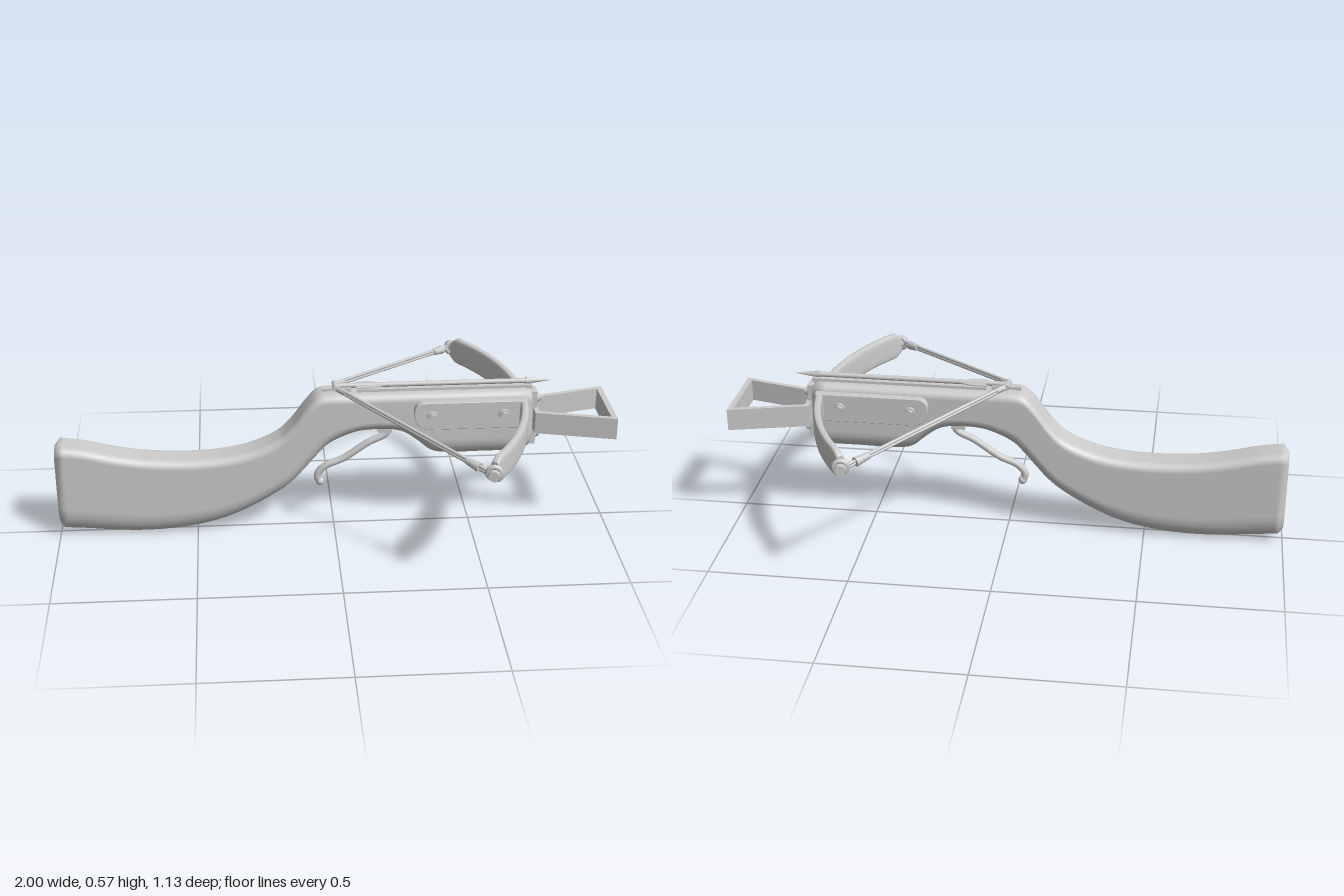
import * as THREE from 'three';

const V = (x, y, z) => new THREE.Vector3(x, y, z);
const mat = new THREE.MeshStandardMaterial({ color: 0xcccccc });

function add(group, name, geometry, x = 0, y = 0, z = 0) {
  const mesh = new THREE.Mesh(geometry, mat);
  mesh.name = name;
  mesh.position.set(x, y, z);
  group.add(mesh);
  return mesh;
}

// Skin over closed rings of points, with flat caps at both ends
function loft(rings) {
  const n = rings[0].length, pos = [], idx = [];
  rings.forEach(r => r.forEach(p => pos.push(p.x, p.y, p.z)));
  for (let i = 0; i < rings.length - 1; i++) {
    for (let j = 0; j < n; j++) {
      const a = i * n + j, b = i * n + (j + 1) % n;
      idx.push(a, b, a + n, b, b + n, a + n);
    }
  }
  [rings[0], rings[rings.length - 1]].forEach((r, end) => {
    const base = pos.length / 3, c = V(0, 0, 0);
    r.forEach(p => { pos.push(p.x, p.y, p.z); c.addScaledVector(p, 1 / n); });
    pos.push(c.x, c.y, c.z);
    for (let j = 0; j < n; j++) {
      const a = base + j, b = base + (j + 1) % n;
      if (end) idx.push(base + n, a, b); else idx.push(base + n, b, a);
    }
  });
  const g = new THREE.BufferGeometry();
  g.setAttribute('position', new THREE.Float32BufferAttribute(pos, 3));
  g.setIndex(idx);
  g.computeVertexNormals();
  return g;
}

// Straight round bar between two points
function bar(group, name, a, b, rA, rB = rA, sides = 10) {
  const g = new THREE.CylinderGeometry(rB, rA, a.distanceTo(b), sides);
  const m = add(group, name, g);
  m.position.copy(a).lerp(b, 0.5);
  m.quaternion.setFromUnitVectors(V(0, 1, 0), b.clone().sub(a).normalize());
  return m;
}

// Upright rounded section: small corner radius above, deep half ellipse below
function stockRing(x, top, bottom, inset) {
  const t = top - inset, b = bottom + inset, w = 0.063 - inset;
  const r = 0.03, d = Math.min(0.1, (t - b) * 0.3), ring = [], N = 8;
  for (let k = 0; k <= N; k++) {
    const a = k / N * Math.PI / 2;
    ring.push(V(x, t - r + r * Math.cos(a), w - r + r * Math.sin(a)));
  }
  for (let k = 0; k <= 2 * N; k++) {
    const a = k / N * Math.PI / 2;
    ring.push(V(x, b + d - d * Math.sin(a), w * Math.cos(a)));
  }
  for (let k = 0; k <= N; k++) {
    const a = k / N * Math.PI / 2;
    ring.push(V(x, t - r + r * Math.sin(a), -w + r - r * Math.cos(a)));
  }
  return ring;
}

function stockGeometry() {
  // x, top edge, bottom edge
  const side = [
    [-1, 0.367, 0.025], [-0.9, 0.352, 0.017], [-0.8, 0.327, 0.007], [-0.7, 0.308, 0.002],
    [-0.6, 0.299, 0.006], [-0.5, 0.297, 0.019], [-0.4, 0.304, 0.045], [-0.3, 0.325, 0.09],
    [-0.2, 0.371, 0.15], [-0.15, 0.42, 0.19], [-0.1, 0.488, 0.245], [-0.06, 0.53, 0.293],
    [-0.02, 0.54, 0.335], [0.05, 0.54, 0.372], [0.1, 0.54, 0.386], [0.2, 0.54, 0.388],
    [0.25, 0.54, 0.375], [0.3, 0.54, 0.34], [0.35, 0.54, 0.298], [0.39, 0.54, 0.287],
    [0.55, 0.54, 0.286], [0.71, 0.54, 0.286],
  ];
  const curve = new THREE.CatmullRomCurve3(side.map(p => V(...p)));
  const rings = curve.getPoints(126).map(p => {
    const e = Math.min(p.x + 1, 0.71 - p.x), R = 0.02; // rounded ends
    const inset = e < R ? R - Math.sqrt(Math.max(0, R * R - (R - e) ** 2)) : 0;
    return stockRing(p.x, p.y, p.z, Math.max(0, inset));
  });
  return loft(rings);
}

// Curved limbs as one sweep through the stock
const BOW = { cx: -0.158, r: 0.835, y: 0.465, end: 0.665 };
const bowPoint = a => V(BOW.cx + BOW.r * Math.cos(a), BOW.y, BOW.r * Math.sin(a));

function bowGeometry() {
  const rings = [], N = 48;
  for (let i = 0; i <= N; i++) {
    const a = (i / N * 2 - 1) * BOW.end, c = bowPoint(a);
    const h = 0.051 - 0.018 * Math.max(0, (Math.abs(a) - BOW.end + 0.03) / 0.03);
    const ring = [];
    for (let k = 0; k < 24; k++) {
      const f = k / 24 * Math.PI * 2;
      const se = v => Math.sign(v) * Math.abs(v) ** 0.5;
      const u = 0.015 * se(Math.cos(f));
      ring.push(V(c.x + u * Math.cos(a), c.y + h * se(Math.sin(f)), c.z + u * Math.sin(a)));
    }
    rings.push(ring);
  }
  return loft(rings);
}

// Hexagonal screw with washer, pointing along dir
function screw(group, p, dir) {
  bar(group, 'washer', p, p.clone().addScaledVector(dir, 0.006), 0.019, 0.017, 16);
  bar(group, 'screwHead', p, p.clone().addScaledVector(dir, 0.017), 0.014, 0.012, 6);
}

export function createModel() {
  const model = new THREE.Group();
  model.name = 'crossbow';
  add(model, 'stock', stockGeometry());
  add(model, 'bowLimbs', bowGeometry());

  // Trigger lever
  const lever = new THREE.CatmullRomCurve3([
    V(0.2, 0.385, 0), V(0.19, 0.362, 0), V(0.125, 0.328, 0), V(0.035, 0.267, 0),
    V(-0.035, 0.235, 0), V(-0.06, 0.2, 0), V(-0.05, 0.172, 0)]);
  add(model, 'trigger', new THREE.TubeGeometry(lever, 40, 0.013, 10));
  add(model, 'triggerTip', new THREE.SphereGeometry(0.016, 12, 8), -0.05, 0.176, 0);
  add(model, 'triggerMount', new THREE.BoxGeometry(0.05, 0.02, 0.028), 0.185, 0.382, 0);

  // Front plate with two screws
  add(model, 'frontPlate', new THREE.BoxGeometry(0.025, 0.205, 0.05), 0.718, 0.418, 0);
  for (const y of [0.488, 0.347]) screw(model, V(0.73, y, 0), V(1, 0, 0));

  // Foot stirrup: flat band bent into a trapezoid
  const outline = (s, x0, w0, x1, w1) => {
    s.moveTo(x0, -w0); s.lineTo(x1, -w1); s.lineTo(x1, w1); s.lineTo(x0, w0); s.closePath();
    return s;
  };
  const frame = outline(new THREE.Shape(), 0.718, 0.072, 1, 0.142);
  frame.holes.push(outline(new THREE.Path(), 0.735, 0.058, 0.98, 0.119));
  const stirrup = new THREE.ExtrudeGeometry(frame, { depth: 0.08, bevelEnabled: false });
  stirrup.rotateX(-Math.PI / 2);
  add(model, 'stirrup', stirrup, 0, 0.38, 0);

  // Side plate outline, rounded at the rear
  const plate = new THREE.Shape();
  plate.moveTo(0.685, 0.415);
  plate.lineTo(0.685, 0.515);
  plate.lineTo(0.32, 0.515);
  plate.quadraticCurveTo(0.283, 0.515, 0.283, 0.475);
  plate.quadraticCurveTo(0.285, 0.415, 0.345, 0.415);
  plate.closePath();

  for (const s of [1, -1]) {
    const half = new THREE.Group();
    half.name = s > 0 ? 'frontSide' : 'backSide';
    model.add(half);

    add(half, 'sidePlate', new THREE.ExtrudeGeometry(plate,
      { depth: 0.024, bevelEnabled: true, bevelThickness: 0.003, bevelSize: 0.002, bevelSegments: 2 }),
      0, 0, s > 0 ? 0.062 : -0.086);
    for (const x of [0.345, 0.6]) screw(half, V(x, 0.468, s * 0.089), V(0, 0, s));

    // Rail beside the bolt groove
    add(half, 'rail', new THREE.BoxGeometry(0.63, 0.014, 0.014), 0.395, 0.543, s * 0.02);

    // Limb tip with string loop
    const tip = bowPoint(s * BOW.end);
    const out = V(-s * Math.sin(s * BOW.end), 0, s * Math.cos(BOW.end)).normalize();
    out.set(-Math.sin(BOW.end) * 0.3, 0, s).normalize();
    bar(half, 'limbTip', tip.clone().addScaledVector(out, -0.01),
      tip.clone().addScaledVector(out, 0.034), 0.015, 0.015, 12);
    bar(half, 'limbTipCap', tip.clone().addScaledVector(out, 0.03),
      tip.clone().addScaledVector(out, 0.045), 0.021, 0.019, 12);
    const loop = add(half, 'stringLoop', new THREE.TorusGeometry(0.022, 0.009, 8, 20));
    loop.position.copy(tip).addScaledVector(out, 0.014);
    loop.quaternion.setFromUnitVectors(V(0, 0, 1), out);

    // Twin-cord string with a binding near the limb
    const a = V(0.005, 0.555, s * 0.015), b = loop.position.clone().add(V(-0.015, 0, 0));
    for (const d of [-0.005, 0.005])
      bar(half, 'string', a.clone().add(V(0, d, 0)), b.clone().add(V(0, d, 0)), 0.006, 0.006, 8);
    bar(half, 'stringBinding', a.clone().lerp(b, 0.86), a.clone().lerp(b, 0.94), 0.012, 0.017, 12);
    bar(half, 'innerBinding', a, a.clone().lerp(b, 0.07), 0.01, 0.008, 10);

    // Catch cheek
    add(half, 'catchCheek', new THREE.BoxGeometry(0.06, 0.018, 0.009), 0.03, 0.545, s * 0.016);
  }

  // String catch
  bar(model, 'catchPin', V(0.005, 0.555, -0.03), V(0.005, 0.555, 0.03), 0.01);
  add(model, 'catchBase', new THREE.BoxGeometry(0.07, 0.012, 0.022), -0.008, 0.544, 0);

  // Bolt: shaft, pointed head and three tapering vanes
  bar(model, 'boltShaft', V(0.0, 0.556, 0), V(0.71, 0.556, 0), 0.009);
  bar(model, 'boltHead', V(0.69, 0.556, 0), V(0.775, 0.556, 0), 0.014, 0.001, 8);
  const vane = new THREE.Shape();
  vane.moveTo(0.08, 0);
  vane.lineTo(0.08, 0.028);
  vane.lineTo(0.13, 0.028);
  vane.lineTo(0.19, 0.006);
  vane.lineTo(0.19, 0);
  const vaneGeo = new THREE.ExtrudeGeometry(vane, { depth: 0.004, bevelEnabled: false });
  vaneGeo.translate(0, 0, -0.002);
  for (const angle of [Math.PI / 2, -Math.PI / 2])
    add(model, 'vane', vaneGeo, 0, 0.556, 0).rotation.x = angle;
  return model;
}
